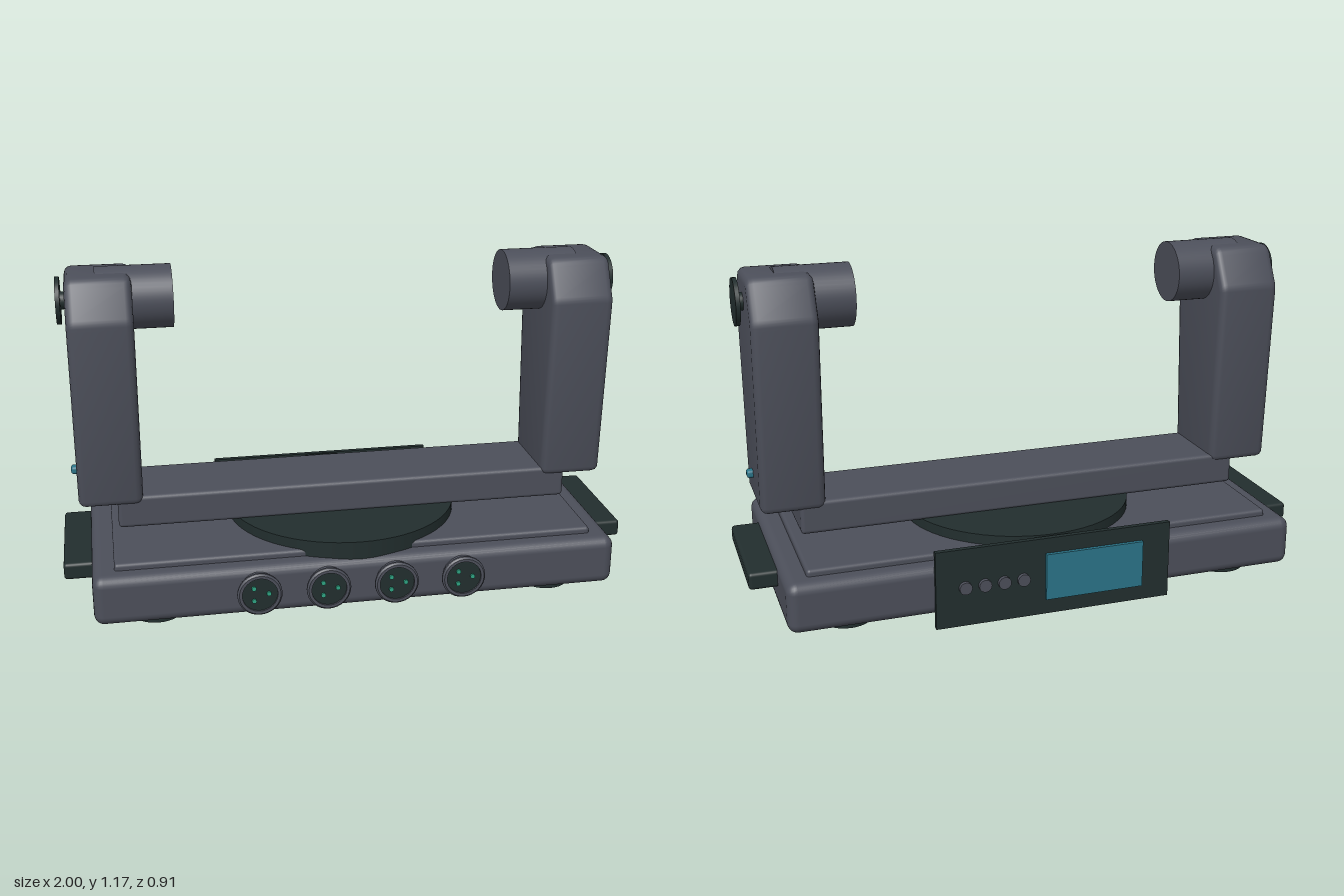
import * as THREE from 'three';
import { RoundedBoxGeometry } from 'three/addons/geometries/RoundedBoxGeometry.js';
import { toCreasedNormals } from 'three/addons/utils/BufferGeometryUtils.js';

const material = (name, color) => {
  const m = new THREE.MeshStandardMaterial({ color });
  m.name = name;
  return m;
};

export function createModel() {
  const grey = material('body grey', 0x4c4f5a);
  const dark = material('dark trim', 0x222e2e);
  const teal = material('screen teal', 0x2a7488);
  const green = material('pin green', 0x2fa584);
  const model = new THREE.Group();
  model.name = 'yokeFixture';

  const add = (name, geometry, mat, x, y, z, parent = model) => {
    const mesh = new THREE.Mesh(geometry, mat);
    mesh.name = name;
    mesh.position.set(x, y, z);
    parent.add(mesh);
    return mesh;
  };
  const box = (w, h, d, r) => new RoundedBoxGeometry(w, h, d, 3, r);
  // Cylinder lying along the given axis
  const cyl = (r, h, axis = 'y', seg = 32) => {
    const g = new THREE.CylinderGeometry(r, r, h, seg);
    if (axis === 'x') g.rotateZ(Math.PI / 2);
    if (axis === 'z') g.rotateX(Math.PI / 2);
    return g;
  };

  // Base housing with raised lid and turntable
  add('base', box(1.81, 0.175, 0.85, 0.035), grey, 0, 0.135, -0.003);
  add('lid', box(1.66, 0.06, 0.73, 0.012), grey, 0, 0.215, -0.003);
  add('turntable', cyl(0.41, 0.065, 'y', 64), dark, 0, 0.2475, -0.003);

  // Feet
  for (const x of [-0.692, 0.692])
    for (const z of [-0.292, 0.289]) add('foot', cyl(0.088, 0.04), dark, x, 0.045, z);

  // Yoke crossbar
  add('crossbar', box(1.61, 0.115, 0.286, 0.014), grey, 0, 0.3325, -0.002);

  // Yoke arm: tapered profile in z and y, thickened along x
  const bevel = 0.025;
  const profile = new THREE.Shape();
  profile.moveTo(-0.13, 0.364);
  profile.lineTo(0.13, 0.364);
  profile.quadraticCurveTo(0.149, 0.364, 0.151, 0.385);
  profile.lineTo(0.182, 1.0);
  profile.quadraticCurveTo(0.183, 1.02, 0.175, 1.035);
  profile.lineTo(0.125, 1.13);
  profile.quadraticCurveTo(0.112, 1.158, 0.085, 1.158);
  profile.lineTo(-0.085, 1.158);
  profile.quadraticCurveTo(-0.112, 1.158, -0.125, 1.13);
  profile.lineTo(-0.175, 1.035);
  profile.quadraticCurveTo(-0.183, 1.02, -0.182, 1.0);
  profile.lineTo(-0.151, 0.385);
  profile.quadraticCurveTo(-0.149, 0.364, -0.13, 0.364);
  const armGeometry = new THREE.ExtrudeGeometry(profile, {
    depth: 0.22 - 2 * bevel, curveSegments: 4, bevelSegments: 3,
    bevelSize: bevel, bevelThickness: bevel, bevelOffset: -bevel,
  });
  armGeometry.translate(0, 0, -(0.22 - 2 * bevel) / 2).rotateY(-Math.PI / 2);
  const arm = toCreasedNormals(armGeometry, 0.6);

  for (const side of [-1, 1]) {
    const group = new THREE.Group();
    group.name = side > 0 ? 'leftSide' : 'rightSide';
    model.add(group);
    add('arm', arm, grey, side * 0.826, 0, 0, group);
    // Tilt pivot and its outer cap
    add('tiltPivot', cyl(0.108, 0.255, 'x', 48), grey, side * 0.7075, 1.062, -0.003, group);
    add('capStem', cyl(0.03, 0.04, 'x'), dark, side * 0.94, 1.062, 0, group);
    add('pivotCap', cyl(0.08, 0.015, 'x', 40), dark, side * 0.959, 1.062, 0, group);
    // Lock button near the foot of the arm
    add('lockButton', box(0.03, 0.028, 0.036, 0.01), teal, side * 0.942, 0.459, 0.018, group);
    // Carry handle
    add('handle', box(0.12, 0.06, 0.448, 0.012), dark, side * 0.94, 0.164, 0, group);
  }

  // Front sockets: flange, rim, dark face and three pins
  const rimPoints = [[0.06, 0], [0.07, 0], [0.076, 0.006], [0.076, 0.014], [0.07, 0.02], [0.06, 0.02], [0.06, 0]];
  const rim = toCreasedNormals(
    new THREE.LatheGeometry(rimPoints.map(([x, y]) => new THREE.Vector2(x, y)), 32).rotateX(Math.PI / 2), 0.5);
  for (let i = 0; i < 4; i++) {
    const socket = new THREE.Group();
    socket.name = 'socket';
    socket.position.set(-0.355 + i * 0.235, 0.137, 0.42);
    model.add(socket);
    add('socketNeck', cyl(0.068, 0.03, 'z'), grey, 0, 0, 0.005, socket);
    add('socketRim', rim, grey, 0, 0, 0.016, socket);
    add('socketFace', cyl(0.061, 0.015, 'z'), dark, 0, 0, 0.022, socket);
    for (const [x, y] of [[-0.02, 0.024], [0.03, 0.002], [-0.02, -0.022]])
      add('pin', cyl(0.008, 0.01, 'z', 12), green, x, y, 0.031, socket);
  }

  // Rear control panel with screen and buttons
  add('controlPanel', new THREE.BoxGeometry(0.84, 0.277, 0.018), dark, 0, 0.141, -0.432);
  add('screen', new THREE.BoxGeometry(0.352, 0.166, 0.014), teal, -0.14, 0.142, -0.447);
  for (let i = 0; i < 4; i++)
    add('panelButton', cyl(0.022, 0.016, 'z', 20), grey, 0.115 + i * 0.068, 0.142, -0.446);

  return model;
}
